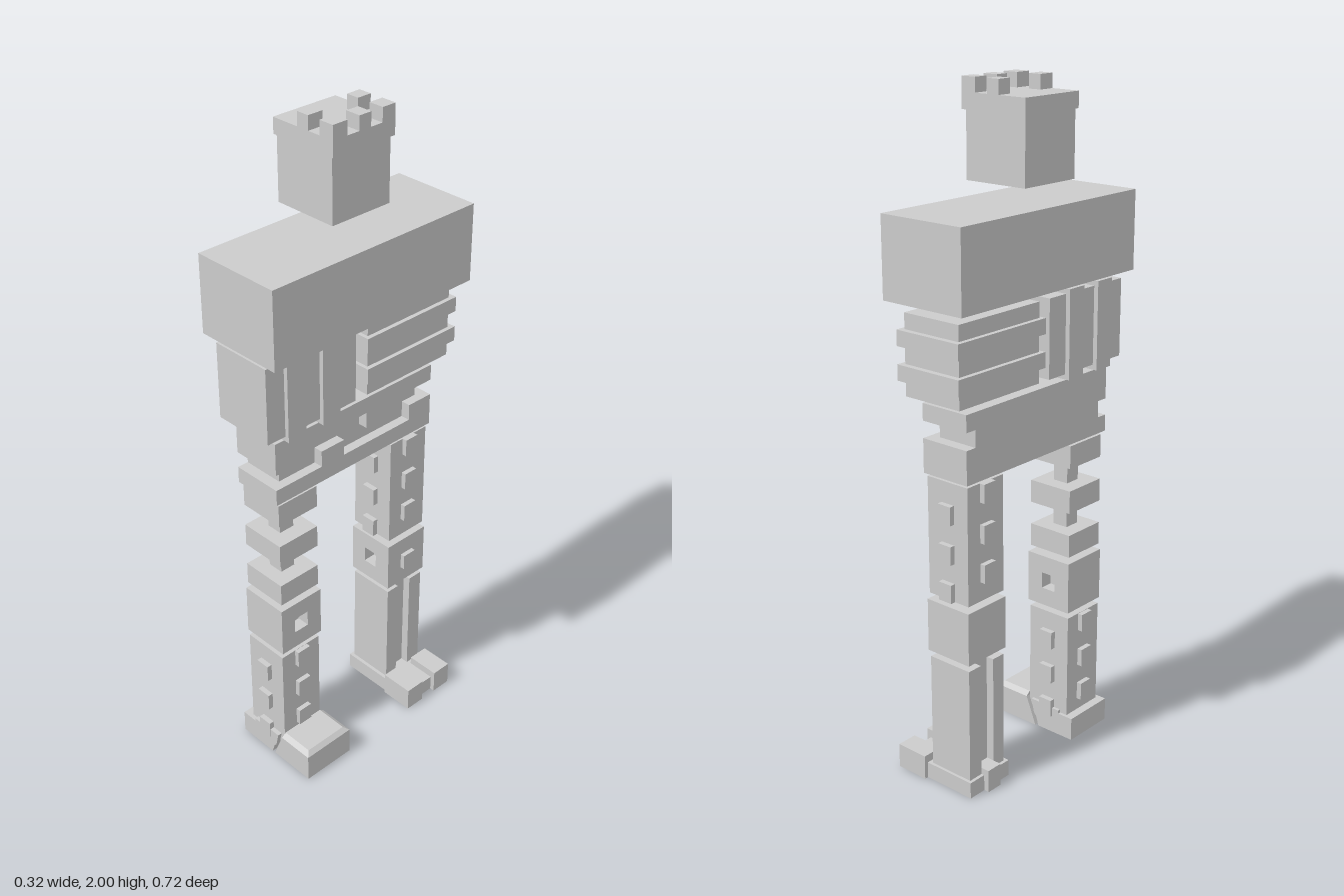
import * as THREE from 'three';

const material = new THREE.MeshStandardMaterial({ color: 0xcccccc, flatShading: true });

function add(parent, name, geometry) {
  const mesh = new THREE.Mesh(geometry, material);
  mesh.name = name;
  parent.add(mesh);
  return mesh;
}

function group(parent, name) {
  const g = new THREE.Group();
  g.name = name;
  parent.add(g);
  return g;
}

// Box given by its limits on each axis
function box(parent, name, x0, x1, y0, y1, z0, z1) {
  const g = new THREE.BoxGeometry(x1 - x0, y1 - y0, z1 - z0);
  g.translate((x0 + x1) / 2, (y0 + y1) / 2, (z0 + z1) / 2);
  return add(parent, name, g);
}

const shapeOf = (pts) => new THREE.Shape(pts.map(([x, y]) => new THREE.Vector2(x, y)));

// Profile in x and y, extruded from z0 to z1
function prism(parent, name, pts, z0, z1, hole) {
  const shape = shapeOf(pts);
  if (hole) shape.holes.push(shapeOf(hole));
  const g = new THREE.ExtrudeGeometry(shape, { depth: z1 - z0, bevelEnabled: false });
  return add(parent, name, g.translate(0, 0, z0));
}

const rect = (a0, a1, b0, b1) => [[a0, b0], [a1, b0], [a1, b1], [a0, b1]];

// Raised windows on a leg section; the front pair and side pair alternate in height
function windows(parent, zc, xRows, zRows) {
  const h = 0.055, t = 0.016, w = 0.023, xc = -0.037, half = 0.073;
  for (const s of [-1, 1]) {
    for (const y of xRows) {
      const x = xc + s * half;
      box(parent, 'window', x - t, x + t, y, y + h, zc - w, zc + w);
    }
    for (const y of zRows) {
      const z = zc + s * half;
      box(parent, 'window', xc - w, xc + w, y, y + h, z - t, z + t);
    }
  }
}

function buildHead(root) {
  const head = group(root, 'head');
  box(head, 'headBlock', -0.15, 0.053, 1.73, 1.92, -0.105, 0.097);
  box(head, 'crown', -0.157, 0.061, 1.915, 1.96, -0.113, 0.102);
  const merlons = [
    [-0.067, -0.027, -0.113, -0.068], [0.014, 0.061, -0.113, -0.068],
    [0.014, 0.061, -0.028, 0.012],
    [0.014, 0.061, 0.053, 0.102], [-0.067, -0.027, 0.053, 0.102],
  ];
  for (const [x0, x1, z0, z1] of merlons) box(head, 'merlon', x0, x1, 1.96, 2, z0, z1);
}

function buildTorso(root) {
  const torso = group(root, 'torso');
  box(torso, 'shoulders', -0.16, 0.12, 1.44, 1.67, -0.36, 0.36);
  box(torso, 'chestLeft', -0.133, 0.06, 1.185, 1.415, 0.02, 0.34);
  for (const z of [0.09, 0.215]) box(torso, 'uprightBand', -0.147, 0.073, 1.17, 1.43, z, z + 0.063);
  box(torso, 'chestRight', -0.133, 0.06, 1.185, 1.415, -0.343, -0.024);
  for (const y of [1.23, 1.325]) box(torso, 'levelBand', -0.147, 0.073, y, y + 0.045, -0.36, -0.013);
}

// Two toothed halves around a core
function buildPelvis(root) {
  const pelvis = group(root, 'pelvis');
  const x0 = -0.117, x1 = 0.042;
  box(pelvis, 'pelvisCore', x0, 0.013, 1.0, 1.12, -0.265, 0.265);
  box(pelvis, 'upperBand', x0, x1, 1.11, 1.16, -0.3, 0.3);
  box(pelvis, 'lowerBand', x0, x1, 0.96, 1.01, -0.3, 0.3);
  for (const [a, b] of [[0.22, 0.3], [-0.122, -0.04]]) box(pelvis, 'upperTooth', x0, x1, 1.06, 1.11, a, b);
  for (const [a, b] of [[0.047, 0.132], [-0.3, -0.213]]) box(pelvis, 'lowerTooth', x0, x1, 1.01, 1.06, a, b);
}

function buildLeftLeg(root) {
  const leg = group(root, 'leftLeg');
  const zc = 0.22;

  // Thigh: slabs on a thin post
  box(leg, 'thighPost', -0.062, -0.012, 0.57, 0.94, 0.195, 0.245);
  for (const y of [0.6, 0.74, 0.88]) box(leg, 'thighSlab', -0.11, 0.037, y, y + 0.07, 0.148, 0.29);

  // Knee with recessed openings in two sides
  box(leg, 'kneeCore', -0.113, 0.002, 0.42, 0.58, 0.183, 0.295);
  const front = prism(leg, 'kneePanel', rect(-0.295, -0.143, 0.42, 0.58), 0.002, 0.042,
    rect(-0.245, -0.195, 0.475, 0.525));
  front.geometry.rotateY(Math.PI / 2);
  prism(leg, 'kneePanel', rect(-0.113, 0.002, 0.42, 0.58), 0.143, 0.183,
    rect(-0.06, -0.012, 0.475, 0.525));

  // Shin
  box(leg, 'shin', -0.11, 0.037, 0.05, 0.4, 0.148, 0.293);
  windows(leg, zc, [0.11, 0.226, 0.344], [0.054, 0.17, 0.286]);

  // Foot split by a crack into a heel and a bevelled toe
  prism(leg, 'heel', [[-0.137, 0], [-0.006, 0], [0.003, 0.03], [0.012, 0.04], [0.022, 0.085],
    [-0.03, 0.085], [-0.03, 0.068], [-0.06, 0.068], [-0.06, 0.082], [-0.085, 0.082],
    [-0.085, 0.072], [-0.137, 0.072]], 0.138, 0.307);
  prism(leg, 'toe', [[0.004, 0], [0.157, 0], [0.157, 0.088], [0.04, 0.088], [0.022, 0.045]], 0.135, 0.307);
  const cap = box(leg, 'toeTop', 0.04, 0.157, 0.088, 0.1, 0.135, 0.307);
  const p = cap.geometry.attributes.position;
  for (let i = 0; i < p.count; i++) {
    if (p.getY(i) < 0.094) continue;
    if (p.getX(i) > 0.1) p.setX(i, 0.143);
    p.setZ(i, p.getZ(i) > 0.22 ? 0.292 : 0.15);
  }
  cap.geometry.computeVertexNormals();
}

function buildRightLeg(root) {
  const leg = group(root, 'rightLeg');
  const zc = -0.218;

  // Thigh
  box(leg, 'thigh', -0.11, 0.037, 0.6, 0.95, -0.291, -0.146);
  windows(leg, zc, [0.658, 0.775, 0.895], [0.6, 0.715, 0.832]);

  // Knee with an opening on the inner side and a raised window in front
  box(leg, 'kneeCore', -0.113, 0.042, 0.42, 0.58, -0.295, -0.18);
  prism(leg, 'kneePanel', rect(-0.113, 0.042, 0.42, 0.58), -0.18, -0.14,
    rect(-0.06, -0.012, 0.475, 0.525));
  box(leg, 'window', 0.03, 0.056, 0.475, 0.525, -0.242, -0.195);

  // Shin: two plates joined by a recessed web
  box(leg, 'shinPlate', -0.11, 0.037, 0.04, 0.4, -0.291, -0.242);
  box(leg, 'shinPlate', -0.11, 0.037, 0.04, 0.4, -0.19, -0.146);
  box(leg, 'shinWeb', -0.085, 0.012, 0.04, 0.4, -0.242, -0.19);

  // Foot with two toes and a heel spur
  box(leg, 'footBase', -0.12, 0.06, 0, 0.05, -0.3, -0.135);
  box(leg, 'footBridge', 0.05, 0.14, 0, 0.05, -0.25, -0.19);
  box(leg, 'toe', 0.05, 0.155, 0, 0.075, -0.312, -0.247);
  box(leg, 'toe', 0.05, 0.155, 0, 0.075, -0.193, -0.127);
  box(leg, 'heelSpur', -0.137, -0.08, 0, 0.07, -0.242, -0.19);
}

export function createModel() {
  const root = new THREE.Group();
  root.name = 'blockGiant';
  buildHead(root);
  buildTorso(root);
  buildPelvis(root);
  buildLeftLeg(root);
  buildRightLeg(root);
  return root;
}
